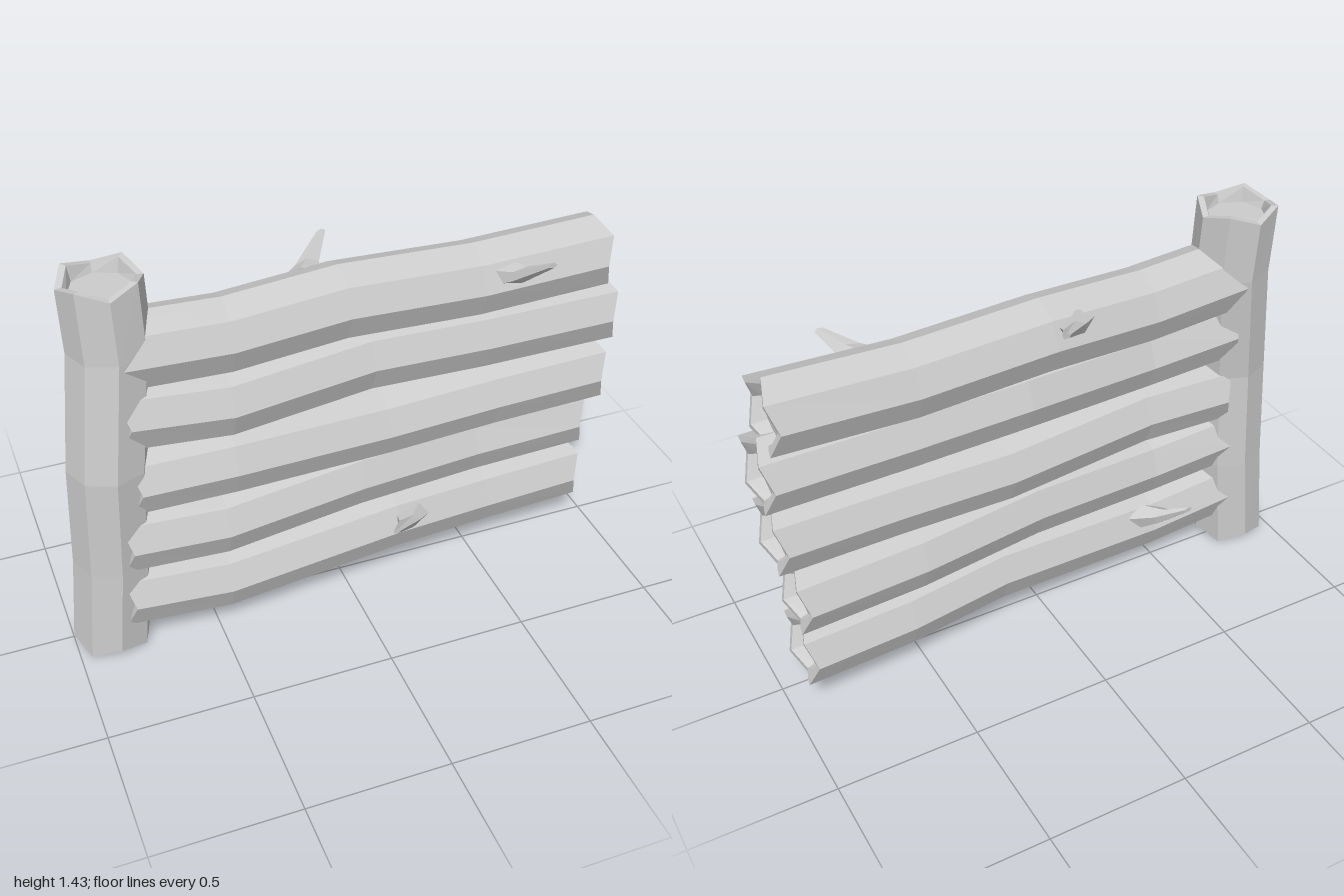
import * as THREE from 'three';

const X = new THREE.Vector3(1, 0, 0);
const Y = new THREE.Vector3(0, 1, 0);
const Z = new THREE.Vector3(0, 0, 1);

// Skin over a list of rings { c: centre, r: radius, zig: end notch } in the plane u, v
function loft(rings, u, v, sides) {
  const axis = u.clone().cross(v).normalize();
  const corner = (ring, j) => {
    const a = (j % sides) / sides * Math.PI * 2;
    return ring.c.clone()
      .addScaledVector(u, Math.cos(a) * ring.r)
      .addScaledVector(v, Math.sin(a) * ring.r)
      .addScaledVector(axis, (j % 2 ? -1 : 1) * (ring.zig || 0));
  };
  const pts = [];
  for (let i = 0; i < rings.length - 1; i++) {
    for (let j = 0; j < sides; j++) {
      const a0 = corner(rings[i], j), b0 = corner(rings[i], j + 1);
      const a1 = corner(rings[i + 1], j), b1 = corner(rings[i + 1], j + 1);
      if (rings[i].r > 0) pts.push(a0, b0, b1);
      if (rings[i + 1].r > 0) pts.push(a0, b1, a1);
    }
  }
  const geo = new THREE.BufferGeometry().setFromPoints(pts);
  geo.computeVertexNormals();
  return geo;
}

// Octagonal trunk with notched rims and sunken ends
function trunk(path, radius, u, v) {
  const axis = u.clone().cross(v);
  const c = path.map((p) => new THREE.Vector3(...p));
  const end = (p, s) => {
    const sunk = p.clone().addScaledVector(axis, s * 0.04);
    return [
      { c: sunk, r: 0 },
      { c: sunk, r: radius * 0.75 },
      { c: p, r: radius * 0.83, zig: s * 0.013 },
      { c: p, r: radius, zig: s * 0.015 },
    ];
  };
  const rings = [
    ...end(c[0], 1),
    ...c.slice(1, -1).map((p) => ({ c: p, r: radius })),
    ...end(c[c.length - 1], -1).reverse(),
  ];
  return loft(rings, u, v, 8);
}

// Tapered twig stub, wide along x where it leaves the log
function twig(base, mid, tip) {
  const [a, b, t] = [base, mid, tip].map((p) => new THREE.Vector3(...p));
  const wide = X.clone().multiplyScalar(1.5);
  const front = t.z > a.z;
  const rings = [
    { c: a, r: 0 }, { c: a, r: 0.055 }, { c: b, r: 0.03 }, { c: t, r: 0.011 }, { c: t, r: 0 },
  ];
  return loft(rings, front ? wide : Y, front ? Y : wide, 5);
}

export function createModel() {
  const group = new THREE.Group();
  const wood = new THREE.MeshStandardMaterial({ color: 0xcccccc, flatShading: true });
  wood.name = 'pale grey wood';
  const add = (name, geo) => {
    const mesh = new THREE.Mesh(geo, wood);
    mesh.name = name;
    group.add(mesh);
  };

  // Upright post
  add('post', trunk([
    [-0.865, 0.015, 0.025], [-0.835, 0.37, 0.035], [-0.82, 0.76, 0.05],
    [-0.77, 1.18, 0.02], [-0.775, 1.415, 0.01],
  ], 0.137, Z, X));

  // Stacked logs, top to bottom
  const logs = [
    [[-0.775, 1.155, 0.02], [-0.4, 1.135, 0.01], [0, 1.155, -0.015], [0.48, 1.135, -0.02], [0.95, 1.153, -0.02]],
    [[-0.77, 0.945, 0.04], [-0.42, 0.92, 0.05], [0.08, 0.945, 0], [0.5, 0.935, 0], [0.985, 0.935, -0.005]],
    [[-0.755, 0.68, 0.04], [-0.42, 0.685, 0.05], [0.14, 0.665, 0.01], [0.55, 0.68, 0], [0.97, 0.685, -0.01]],
    [[-0.805, 0.46, 0.055], [-0.46, 0.44, 0.055], [0.04, 0.47, 0.01], [0.5, 0.46, -0.04], [0.935, 0.457, -0.06]],
    [[-0.815, 0.22, 0.05], [-0.46, 0.19, 0.05], [0.18, 0.23, 0.01], [0.55, 0.215, -0.03], [0.93, 0.215, -0.05]],
  ];
  logs.forEach((path, i) => add(`log${i + 1}`, trunk(path, 0.132, Y, Z)));

  // Twig stubs
  add('upperFrontTwig', twig([0.56, 1.17, 0.06], [0.6, 1.195, 0.12], [0.67, 1.253, 0.19]));
  add('upperBackTwig', twig([-0.1, 1.2, -0.09], [-0.06, 1.222, -0.145], [0.03, 1.28, -0.25]));
  add('lowerFrontTwig', twig([0.25, 0.255, 0.09], [0.205, 0.28, 0.155], [0.12, 0.34, 0.25]));
  add('lowerBackTwig', twig([-0.42, 0.245, -0.05], [-0.47, 0.275, -0.115], [-0.54, 0.317, -0.17]));

  return group;
}
